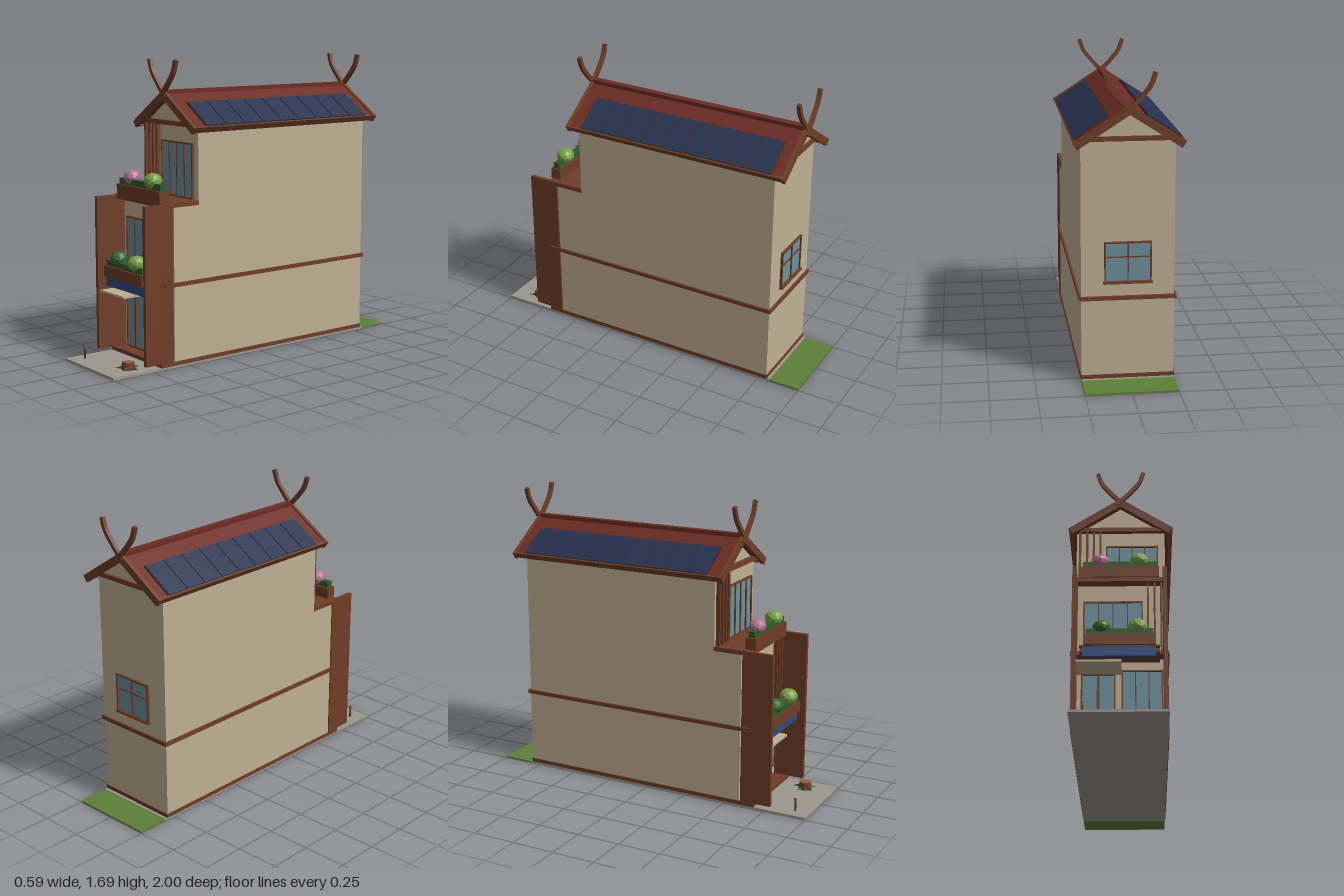
import * as THREE from 'three';

const C = {
  wall: 0xbfb094, brown: 0x6f3e27, dark: 0x4a281b, roof: 0x6c2c22, glass: 0x6d909d, solar: 0x27324f,
  stone: 0x9c978f, grass: 0x5d8038, leaf: 0x2f5a2a, bushDark: 0x356a30, bushLight: 0x789f47,
  pink: 0xb87090, sign: 0x2f4a82, wood: 0x96603c
};
const mats = {};
const mat = (c) => (mats[c] ??= new THREE.MeshStandardMaterial({ color: C[c], flatShading: true }));

function add(parent, name, geo, color, x = 0, y = 0, z = 0) {
  const m = new THREE.Mesh(geo, mat(color));
  m.name = name;
  m.position.set(x, y, z);
  parent.add(m);
  return m;
}

// Box given by its extents along each axis
function box(parent, name, color, x0, x1, y0, y1, z0, z1) {
  return add(parent, name, new THREE.BoxGeometry(x1 - x0, y1 - y0, z1 - z0), color,
    (x0 + x1) / 2, (y0 + y1) / 2, (z0 + z1) / 2);
}

// Framed glazing on a wall at depth z; dir is +1 for the front, -1 for the back
function glazing(parent, name, x0, x1, y0, y1, z, panes, dir = 1) {
  const g = new THREE.Group();
  g.name = name;
  const t = 0.008, span = (a, b) => [z + dir * a, z + dir * b].sort((p, q) => p - q);
  box(g, 'glass', 'glass', x0, x1, y0, y1, ...span(-0.002, 0.006));
  for (let i = 0; i <= panes; i++) {
    const x = x0 + (x1 - x0) * i / panes;
    const w = i % panes ? t * 0.35 : t * 0.5;
    box(g, 'upright', 'brown', x - w, x + w, y0, y1, ...span(0, 0.014));
  }
  for (const y of [y0, y1]) box(g, 'rail', 'brown', x0 - t / 2, x1 + t / 2, y - t / 2, y + t / 2, ...span(0, 0.015));
  parent.add(g);
  return g;
}

// Planter trough with hedge and two faceted bushes
function planter(parent, name, w, y0, y1, z0, z1, bushes) {
  const g = new THREE.Group();
  g.name = name;
  box(g, 'trough', 'brown', -w, w, y0, y1, z0, z1);
  box(g, 'hedge', 'leaf', -w + 0.01, w - 0.01, y1 - 0.01, y1 + 0.034, z0 + 0.012, z1 - 0.012);
  for (const [x, y, z, r, color] of bushes) {
    const b = add(g, 'bush', new THREE.IcosahedronGeometry(r, 1), color, x, y, z);
    b.scale.y = 0.85;
    b.rotation.y = x * 9;
  }
  parent.add(g);
}

function buildRoof() {
  const roof = new THREE.Group();
  roof.name = 'roof';
  const zF = 0.485, zB = -0.86, len = zF - zB, zMid = (zF + zB) / 2;
  const ang = Math.atan2(0.185, 0.285), L = Math.hypot(0.185, 0.285);

  for (const s of [1, -1]) {
    // Slope group: local x runs from the ridge to the eave
    const slope = new THREE.Group();
    slope.name = 'roofSlope';
    slope.position.set(0, 1.507, zMid);
    slope.rotation.set(0, s > 0 ? 0 : Math.PI, 0);
    const tilt = new THREE.Group();
    tilt.rotation.z = -ang;
    slope.add(tilt);
    roof.add(slope);
    box(tilt, 'roofPlate', 'roof', 0, L, -0.022, 0, -len / 2, len / 2);
    box(tilt, 'eaveBoard', 'brown', L - 0.006, L + 0.006, -0.028, 0.008, -len / 2, len / 2);
    for (const e of [1, -1]) {
      box(tilt, 'bargeBoard', 'brown', -0.01, L + 0.008, -0.034, 0.008, e * len / 2 - 0.01, e * len / 2 + 0.01);
    }
    // Row of solar panels
    const pitch = 0.1325, start = s * (-0.79 - zMid);
    for (let i = 0; i < 9; i++) {
      const a = start + s * i * pitch, z = a + s * pitch / 2;
      box(tilt, 'solarPanel', 'solar', 0.12, 0.334, 0.004, 0.013, z - 0.062, z + 0.062);
      box(tilt, 'panelFrame', 'dark', 0.117, 0.337, 0, 0.008, z - 0.066, z + 0.066);
    }
    // Curved horns crossing at both gable ends
    for (const z of [zF + 0.007, zB - 0.007]) {
      const pts = [[-0.03, 1.472], [0, 1.497], [0.06, 1.56], [0.107, 1.62], [0.13, 1.685]]
        .map(([x, y]) => new THREE.Vector3(s * x, y, z + s * 0.003));
      const path = new THREE.CatmullRomCurve3(pts);
      const shape = new THREE.Shape([[-1, -1], [1, -1], [1, 1], [-1, 1]]
        .map(([a, b]) => new THREE.Vector2(a * 0.011, b * 0.011)));
      add(roof, 'roofHorn', new THREE.ExtrudeGeometry(shape, { steps: 12, extrudePath: path }), 'brown');
    }
  }
  box(roof, 'ridgeCap', 'roof', -0.02, 0.02, 1.493, 1.516, zB, zF);
  return roof;
}

export function createModel() {
  const model = new THREE.Group();
  model.name = 'townhouse';

  // Plot
  box(model, 'paving', 'stone', -0.25, 0.25, 0, 0.014, -0.82, 1);
  box(model, 'lawn', 'grass', -0.25, 0.25, 0, 0.01, -1, -0.82);
  box(model, 'plinth', 'brown', -0.254, 0.254, 0.014, 0.036, -0.804, 0.69);

  // Walls and gable
  box(model, 'lowerWalls', 'wall', -0.25, 0.25, 0.036, 0.9, -0.8, 0.6);
  const gable = new THREE.Shape([[-0.25, 0.9], [0.25, 0.9], [0.25, 1.322], [0, 1.482], [-0.25, 1.322]]
    .map((p) => new THREE.Vector2(...p)));
  add(model, 'upperWalls', new THREE.ExtrudeGeometry(gable, { depth: 1.234, bevelEnabled: false }), 'wall', 0, 0, -0.8);
  for (const [a, b] of [[0.43, 0.462], [-0.815, -0.796]]) {
    box(model, 'gableBeam', 'brown', -0.25, 0.25, 1.32, 1.345, a, b);
  }
  model.add(buildRoof());

  // Floor bands, terrace and side fins
  box(model, 'floorBand', 'brown', -0.262, 0.262, 0.458, 0.48, -0.812, 0.665);
  box(model, 'terrace', 'brown', -0.252, 0.252, 0.896, 0.92, 0.432, 0.66);
  for (const s of [1, -1]) {
    const x = s * 0.24;
    box(model, 'sideFin', 'brown', x - 0.011, x + 0.011, 0.036, 0.918, 0.606, 0.79);
  }

  // Upper storey front
  glazing(model, 'upperWindow', -0.08, 0.207, 0.925, 1.228, 0.434, 4);
  for (const x of [-0.23, -0.19, -0.152, -0.115]) {
    box(model, 'upperSlat', 'brown', x - 0.006, x + 0.006, 0.92, 1.325, 0.436, 0.46);
  }
  planter(model, 'upperPlanter', 0.211, 0.92, 0.985, 0.605, 0.668, [
    [-0.108, 1.03, 0.63, 0.05, 'pink'], [0.105, 1.03, 0.635, 0.053, 'bushLight']]);

  // Middle storey front
  glazing(model, 'middleWindow', -0.195, 0.118, 0.485, 0.793, 0.6, 4);
  for (const x of [0.15, 0.186, 0.221]) {
    box(model, 'middleSlat', 'brown', x - 0.005, x + 0.005, 0.48, 0.896, 0.62, 0.645);
  }
  box(model, 'balconyFloor', 'brown', -0.21, 0.21, 0.44, 0.472, 0.6, 0.74);
  planter(model, 'middlePlanter', 0.188, 0.468, 0.53, 0.69, 0.775, [
    [-0.096, 0.58, 0.735, 0.05, 'bushDark'], [0.095, 0.58, 0.74, 0.054, 'bushLight']]);

  // Blank sign board and door canopy
  box(model, 'signBoard', 'sign', -0.195, 0.19, 0.41, 0.465, 0.735, 0.757);
  box(model, 'signTopRail', 'brown', -0.21, 0.21, 0.46, 0.47, 0.73, 0.762);
  box(model, 'doorCanopy', 'wall', -0.228, 0.01, 0.37, 0.382, 0.6, 0.775);

  // Ground floor front
  glazing(model, 'door', -0.202, -0.028, 0.04, 0.365, 0.6, 2);
  box(model, 'doorMeetingStile', 'brown', -0.122, -0.108, 0.04, 0.365, 0.6, 0.617);
  glazing(model, 'shopWindow', 0.012, 0.222, 0.095, 0.387, 0.6, 3);

  // Back window
  const back = glazing(model, 'backWindow', -0.122, 0.122, 0.56, 0.775, -0.8, 2, -1);
  box(back, 'crossBar', 'brown', -0.122, 0.122, 0.693, 0.699, -0.813, -0.8);
  box(back, 'sill', 'brown', -0.132, 0.132, 0.55, 0.56, -0.822, -0.8);

  // Tree stump with roots
  const stump = new THREE.Group();
  stump.name = 'treeStump';
  stump.position.set(0.148, 0.014, 0.84);
  add(stump, 'trunk', new THREE.CylinderGeometry(0.034, 0.04, 0.04, 9), 'brown', 0, 0.02, 0);
  add(stump, 'cutFace', new THREE.CylinderGeometry(0.03, 0.03, 0.003, 9), 'wood', 0, 0.0405, 0);
  for (let i = 0; i < 5; i++) {
    const pivot = new THREE.Group();
    pivot.rotation.y = i * Math.PI * 0.4 + 0.3;
    const root = add(pivot, 'root', new THREE.ConeGeometry(0.011, 0.055, 5), 'leaf', 0.048, 0.009, 0);
    root.rotation.z = -Math.PI / 2 - 0.1;
    stump.add(pivot);
  }
  model.add(stump);

  // Small garden lamp
  add(model, 'lampPost', new THREE.CylinderGeometry(0.005, 0.006, 0.055, 6), 'dark', -0.18, 0.041, 0.915);
  add(model, 'lampHead', new THREE.CylinderGeometry(0.009, 0.007, 0.018, 6), 'wood', -0.18, 0.075, 0.915);
  add(model, 'lampCap', new THREE.CylinderGeometry(0.005, 0.01, 0.005, 6), 'dark', -0.18, 0.086, 0.915);

  return model;
}
